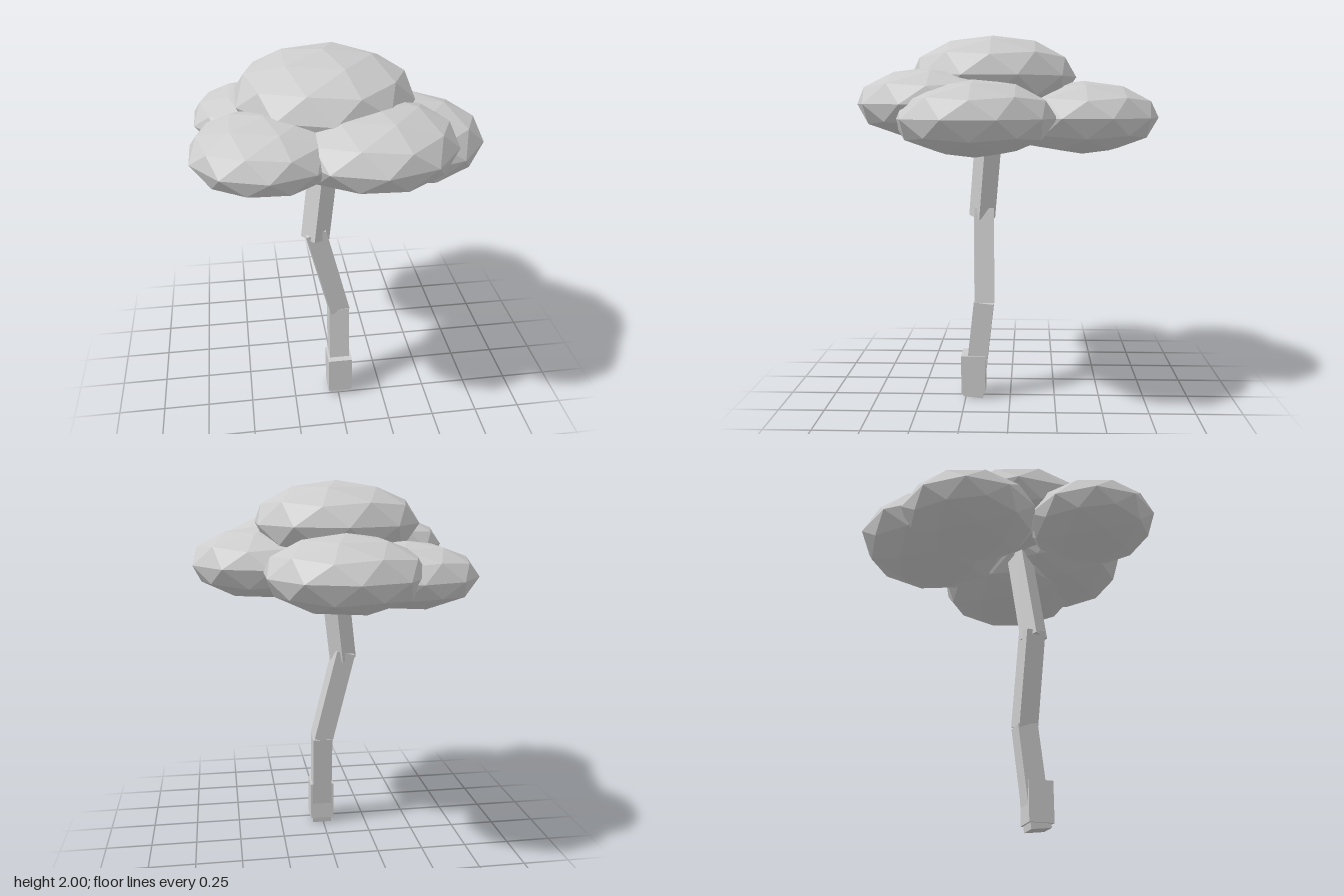
import * as THREE from 'three';

const grey = new THREE.MeshStandardMaterial({ color: 0xcccccc });
grey.name = 'plain grey';

// Faceted ball with one corner straight up and five-sided rings, each face split in four
function facetedBall() {
  const verts = [0, 1, 0, 0, -1, 0], faces = [];
  const y = 1 / Math.sqrt(5), r = 2 * y;
  for (const [offset, h] of [[0, y], [0.5, -y]]) {
    for (let k = 0; k < 5; k++) {
      const a = (k + offset) * Math.PI * 0.4;
      verts.push(r * Math.cos(a), h, r * Math.sin(a));
    }
  }
  for (let k = 0; k < 5; k++) {
    const n = (k + 1) % 5;
    const u = 2 + k, un = 2 + n, l = 7 + k, ln = 7 + n;
    faces.push(0, un, u, u, un, l, l, un, ln, 1, l, ln);
  }
  return new THREE.PolyhedronGeometry(verts, faces, 1, 1);
}

// Flattened clump of leaves
function clump(name, x, y, z, radius, halfHeight) {
  const geo = facetedBall();
  geo.scale(radius, halfHeight, radius);
  geo.computeVertexNormals();
  const mesh = new THREE.Mesh(geo, grey);
  mesh.name = name;
  mesh.position.set(x, y, z);
  return mesh;
}

// Square beam between two points, turned about its own length
function beam(name, from, to, width, spin) {
  const a = new THREE.Vector3(...from), b = new THREE.Vector3(...to);
  const dir = b.clone().sub(a);
  const geo = new THREE.BoxGeometry(width, dir.length(), width);
  geo.rotateY(THREE.MathUtils.degToRad(spin));
  const mesh = new THREE.Mesh(geo, grey);
  mesh.name = name;
  mesh.position.copy(a).add(b).multiplyScalar(0.5);
  mesh.quaternion.setFromUnitVectors(new THREE.Vector3(0, 1, 0), dir.normalize());
  return mesh;
}

export function createModel() {
  const tree = new THREE.Group();
  tree.name = 'tree';

  // Crooked trunk
  const trunk = new THREE.Group();
  trunk.name = 'trunk';
  trunk.add(
    beam('trunkBase', [0.008, 0.035, 0.205], [0.008, 0.25, 0.205], 0.134, 0),
    beam('lowerTrunk', [0.008, 0.007, 0.207], [0.01, 0.55, 0.145], 0.11, 0),
    beam('middleTrunk', [0.012, 0.54, 0.145], [-0.118, 1.052, 0.152], 0.108, 6),
    beam('upperTrunk', [-0.115, 1.01, 0.162], [-0.04, 1.6, 0.108], 0.106, 36),
  );

  // Crown of six clumps
  const crown = new THREE.Group();
  crown.name = 'crown';
  crown.add(
    clump('topClump', -0.06, 1.78, 0.093, 0.448, 0.22),
    clump('frontLeftClump', 0.13, 1.637, 0.385, 0.41, 0.19),
    clump('frontRightClump', -0.37, 1.637, 0.415, 0.356, 0.168),
    clump('leftClump', 0.313, 1.567, 0.17, 0.413, 0.195),
    clump('backClump', -0.035, 1.565, -0.39, 0.41, 0.195),
    clump('backRightClump', -0.36, 1.54, -0.28, 0.364, 0.17),
  );

  tree.add(trunk, crown);
  return tree;
}
